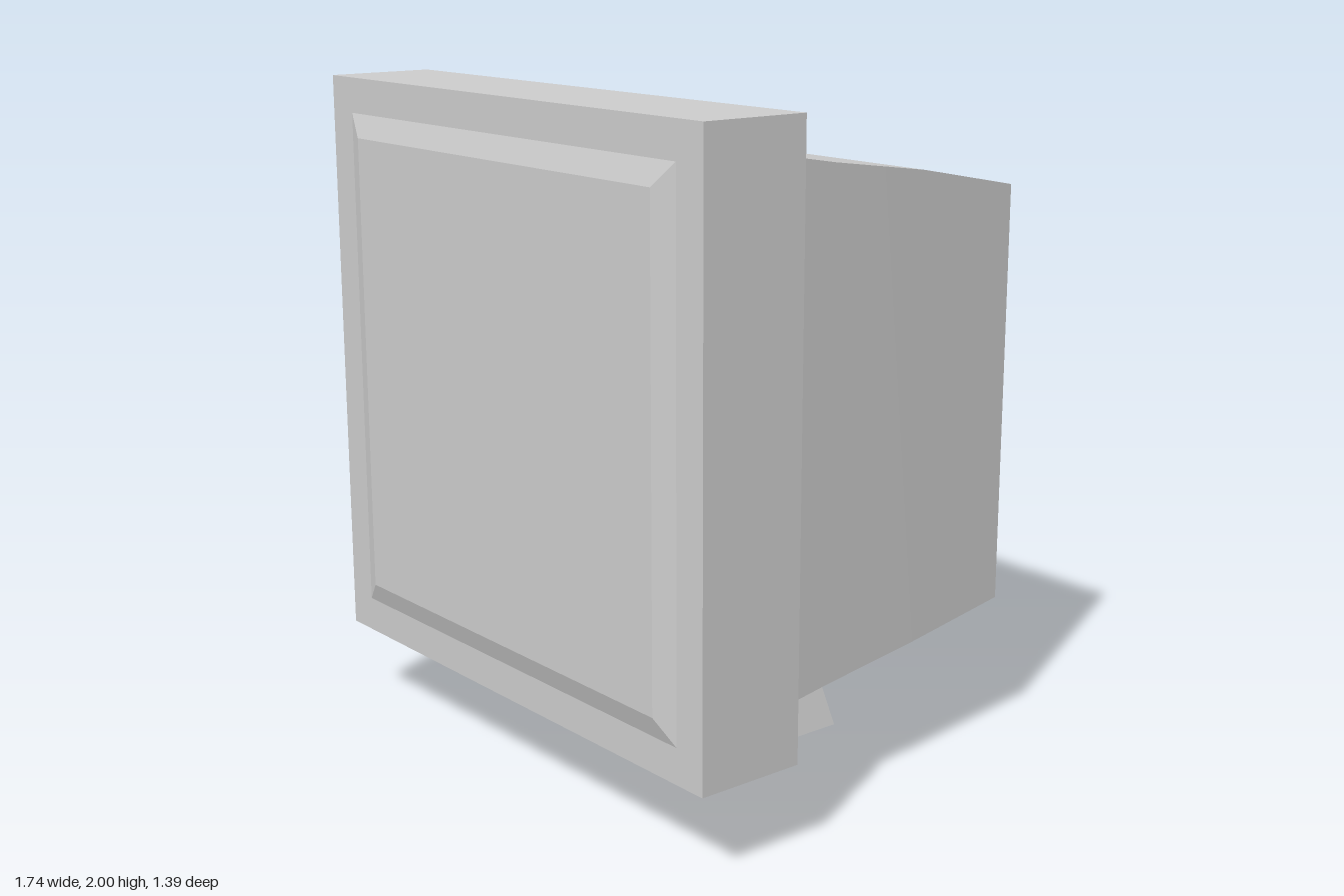
import * as THREE from 'three';
import { toCreasedNormals } from 'three/addons/utils/BufferGeometryUtils.js';

// Capped loft through rectangular sections [z, halfWidth, yMin, yMax], first to last
function loft(sections) {
  const pos = [];
  const index = [];
  for (const [z, w, y0, y1] of sections) {
    pos.push(-w, y0, z, w, y0, z, w, y1, z, -w, y1, z);
  }
  for (let s = 0; s < sections.length - 1; s++) {
    for (let i = 0; i < 4; i++) {
      const a = s * 4 + i;
      const b = s * 4 + (i + 1) % 4;
      index.push(a, b, b + 4, a, b + 4, a + 4);
    }
  }
  const n = (sections.length - 1) * 4;
  index.push(0, 2, 1, 0, 3, 2, n, n + 1, n + 2, n, n + 2, n + 3);
  const geometry = new THREE.BufferGeometry();
  geometry.setAttribute('position', new THREE.Float32BufferAttribute(pos, 3));
  geometry.setIndex(index);
  return toCreasedNormals(geometry, 0.15);
}

export function createModel() {
  const group = new THREE.Group();
  const material = new THREE.MeshStandardMaterial({ color: 0xcccccc });
  const add = (name, geometry) => {
    const mesh = new THREE.Mesh(geometry, material);
    mesh.name = name;
    group.add(mesh);
  };

  // Front frame, its rear face sloping slightly inward towards the housing
  add('frame', loft([
    [0.365, 0.76, 0.37, 1.89],
    [0.337, 0.87, 0.26, 2.0],
    [0.67, 0.87, 0.26, 2.0],
  ]));

  // Raised screen with bevelled edges
  add('screen', loft([
    [0.67, 0.765, 0.365, 1.895],
    [0.695, 0.695, 0.433, 1.827],
  ]));

  // Rear housing, tapering backwards in a gentle curve
  add('housing', loft([
    [-0.695, 0.635, 0.442, 1.71],
    [-0.28, 0.687, 0.41, 1.79],
    [0.1, 0.732, 0.388, 1.845],
    [0.365, 0.763, 0.367, 1.89],
  ]));

  // Square tapered foot, lofted upwards and reaching into the housing
  add('stand', loft([
    [0, 0.285, -0.2, 0.36],
    [0.45, 0.182, -0.099, 0.259],
  ]).rotateX(-Math.PI / 2));

  return group;
}
